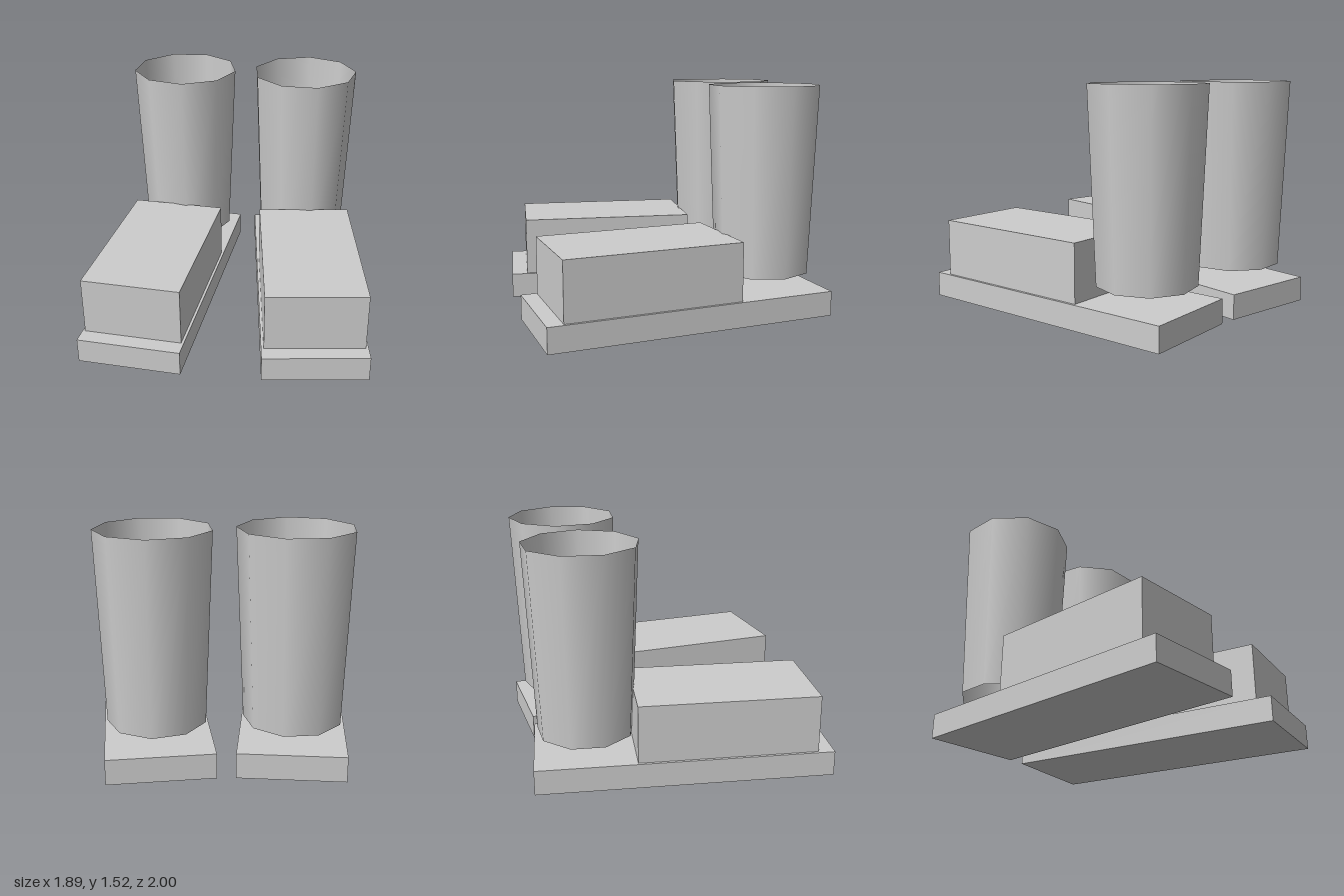
import * as THREE from 'three';

const SPLAY = 0.104; // outward turn of the toes

export function createModel() {
  const model = new THREE.Group();
  model.name = 'boots';
  const grey = new THREE.MeshStandardMaterial({ color: 0xcccccc, side: THREE.DoubleSide });
  grey.name = 'boot grey';

  // Each boot is built straight along z, then splayed
  function makeBoot(side) {
    const boot = new THREE.Group();
    boot.name = side > 0 ? 'leftBoot' : 'rightBoot';
    const add = (name, geometry, y, z) => {
      const mesh = new THREE.Mesh(geometry, grey);
      mesh.name = name;
      mesh.position.set(0, y, z);
      boot.add(mesh);
    };
    add('sole', new THREE.BoxGeometry(0.69, 0.167, 1.938), 0.0835, 0);
    add('foot', new THREE.BoxGeometry(0.655, 0.388, 1.177), 0.361, 0.274);
    // Open nine-sided shaft, wider at the top and floating just above the sole
    add('shaft', new THREE.CylinderGeometry(0.372, 0.322, 1.245, 9, 1, true, Math.PI / 2), 0.9025, -0.625);

    boot.position.x = side * 0.503;
    boot.rotation.y = side * SPLAY;
    return boot;
  }

  for (const side of [1, -1]) model.add(makeBoot(side));
  return model;
}
